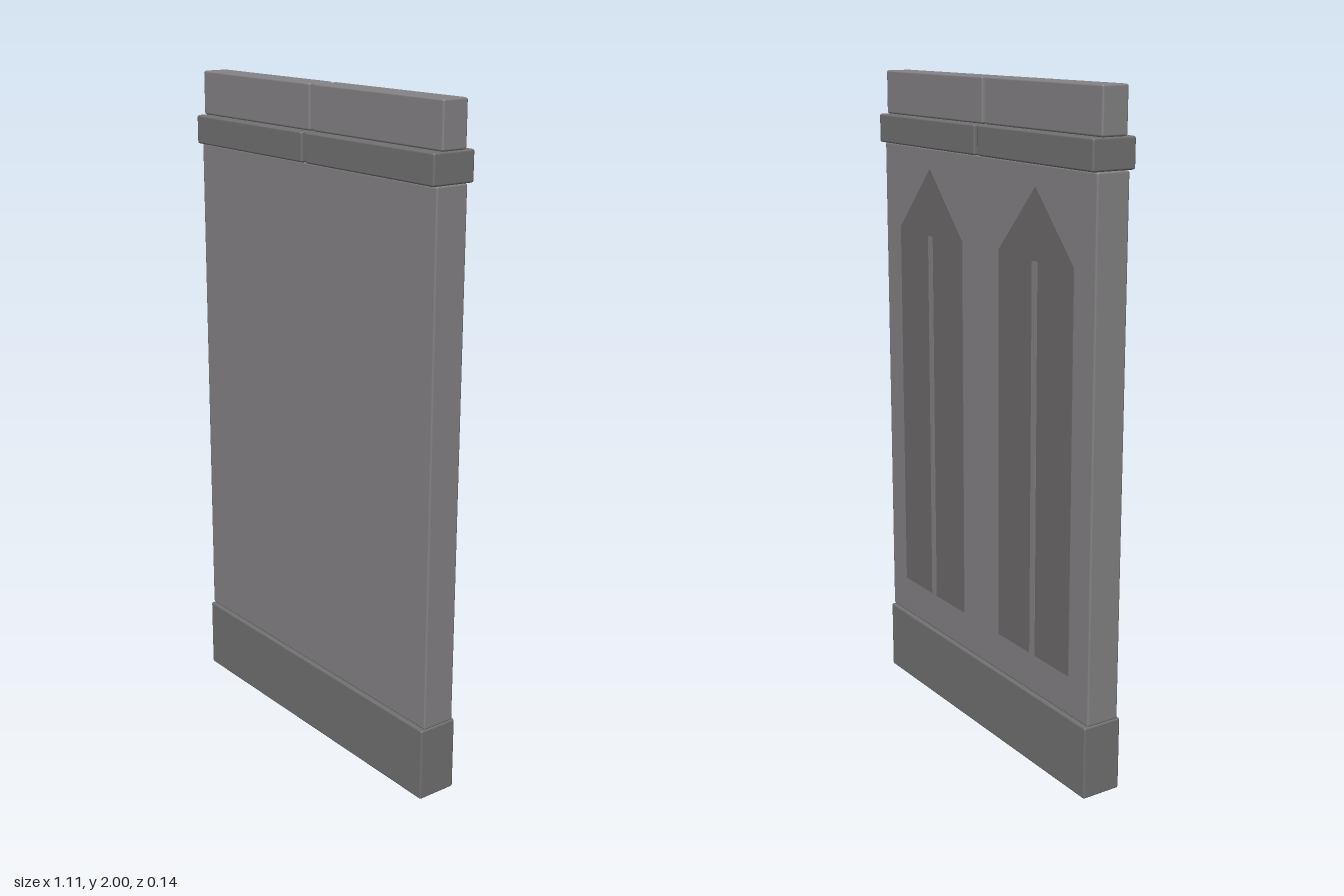
import * as THREE from 'three';
import { RoundedBoxGeometry } from 'three/addons/geometries/RoundedBoxGeometry.js';

const LIGHT = 0x858385, DARK = 0x737273, INSET = 0x6f6a6d;

export function createModel() {
  const model = new THREE.Group();
  model.name = 'wallSection';
  const light = new THREE.MeshStandardMaterial({ color: LIGHT });
  const dark = new THREE.MeshStandardMaterial({ color: DARK });
  const inset = new THREE.MeshStandardMaterial({ color: INSET });

  const add = (name, geometry, material) => {
    const mesh = new THREE.Mesh(geometry, material);
    mesh.name = name;
    model.add(mesh);
    return mesh;
  };

  // Block with narrow bevelled edges, given by its x and y limits and its depth
  const block = (name, x0, x1, y0, y1, depth, material) => {
    const mesh = add(name, new RoundedBoxGeometry(x1 - x0, y1 - y0, depth, 1, 0.006), material);
    mesh.position.set((x0 + x1) / 2, (y0 + y1) / 2, 0);
  };

  // Plinth and main slab
  block('base', -0.553, 0.55, 0, 0.223, 0.126, dark);
  block('wall', -0.553, 0.55, 0.223, 1.781, 0.106, light);

  // Ledge and parapet blocks, split by a narrow gap
  for (const [side, x0, x1] of [['right', -0.555, -0.01], ['left', 0.005, 0.555]]) {
    block(side + 'Ledge', x0, x1, 1.781, 1.868, 0.14, dark);
    block(side + 'Parapet', x0, x1, 1.868, 2, 0.084, light);
  }

  // Pointed window panels on the back, each with a thin centre bar
  const outline = new THREE.Shape([
    [-0.18, 0.345], [0.18, 0.345], [0.18, 1.525], [0, 1.72], [-0.18, 1.525],
  ].map(([x, y]) => new THREE.Vector2(x, y)));
  const panel = new THREE.ExtrudeGeometry(outline, { depth: 0.004, bevelEnabled: false });
  const bar = new THREE.BoxGeometry(0.026, 1.17, 0.004);
  for (const [side, x] of [['right', -0.278], ['left', 0.278]]) {
    add(side + 'WindowPanel', panel, inset).position.set(x, 0, -0.0545);
    add(side + 'WindowBar', bar, light).position.set(x, 0.93, -0.0535);
  }

  return model;
}
